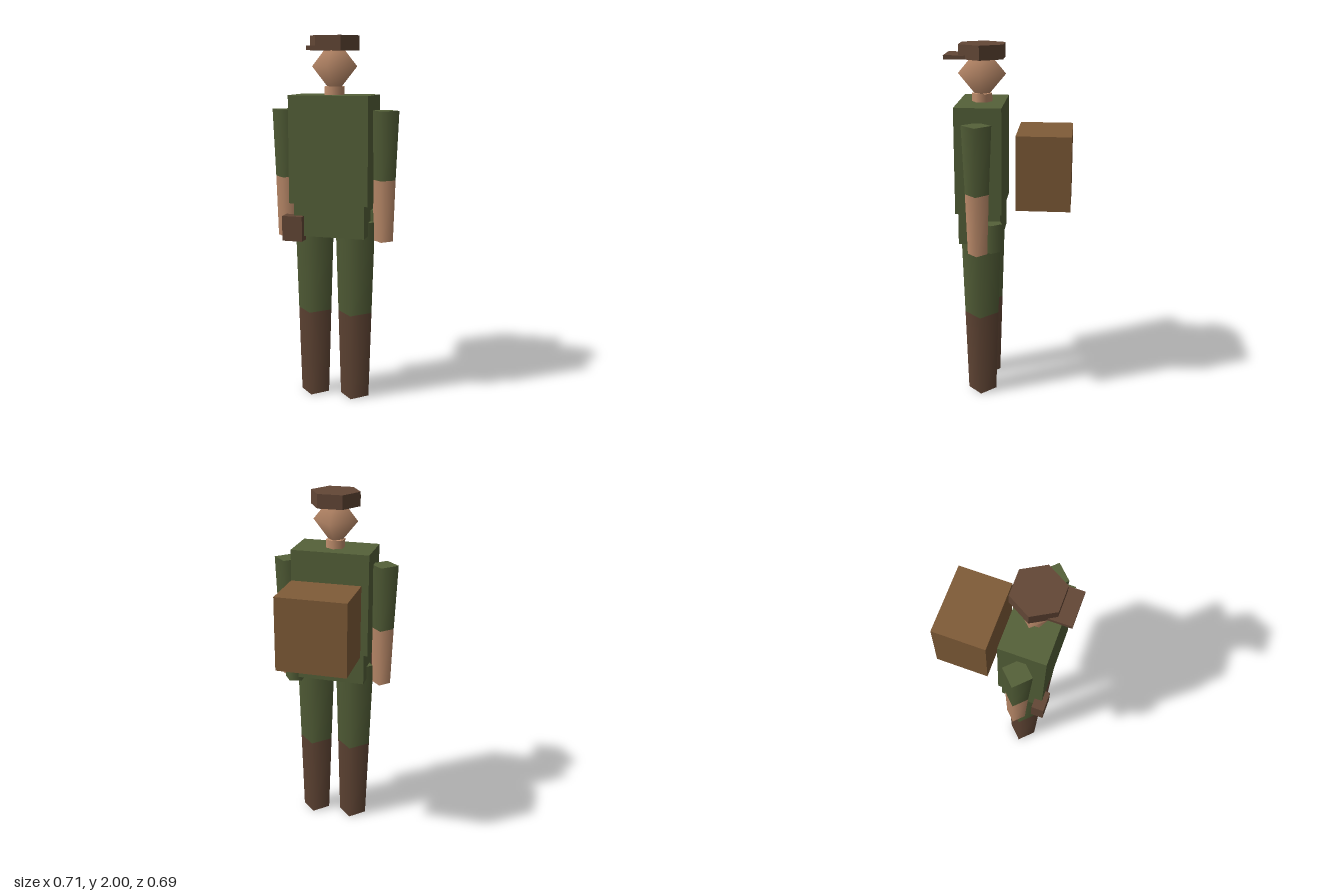
import * as THREE from 'three';

const flatColour = (name, color) => {
  const m = new THREE.MeshStandardMaterial({ color });
  m.name = name;
  return m;
};

export function createModel() {
  const model = new THREE.Group();
  model.name = 'figure';
  const green = flatColour('uniform green', 0x556139);
  const brown = flatColour('leather brown', 0x634736);
  const skin = flatColour('skin', 0xc4916f);
  const tan = flatColour('pack tan', 0x805c38);
  const Z = 0.15; // depth of the body axis

  const add = (name, geometry, material, x, y, z) => {
    const mesh = new THREE.Mesh(geometry, material);
    mesh.name = name;
    mesh.position.set(x, y, z);
    model.add(mesh);
    return mesh;
  };
  // box given by its limits on each axis
  const box = (name, material, [x0, x1], [y0, y1], [z0, z1]) =>
    add(name, new THREE.BoxGeometry(x1 - x0, y1 - y0, z1 - z0), material,
      (x0 + x1) / 2, (y0 + y1) / 2, (z0 + z1) / 2);
  // upright tapered prism between two heights
  const prism = (name, material, sides, rTop, rBottom, y0, y1, x, z = Z, start = 0) =>
    add(name, new THREE.CylinderGeometry(rTop, rBottom, y1 - y0, sides, 1, false, start),
      material, x, (y0 + y1) / 2, z);

  // body
  box('torso', green, [-0.22, 0.22], [1.11, 1.69], [0.024, 0.277]);
  box('hips', green, [-0.197, 0.197], [0.93, 1.11], [0.036, 0.264]);

  // limbs, diamond in section
  for (const [side, s] of [['left', 1], ['right', -1]]) {
    prism(side + 'Sleeve', green, 4, 0.08, 0.064, 1.24, 1.61, s * 0.277);
    prism(side + 'Forearm', skin, 4, 0.064, 0.053, 0.905, 1.24, s * 0.277);
    prism(side + 'Trouser', green, 4, 0.112, 0.096, 0.49, 1.005, s * 0.117);
    prism(side + 'Boot', brown, 4, 0.096, 0.081, 0, 0.49, s * 0.117);
  }

  // neck and head
  prism('neck', skin, 6, 0.055, 0.055, 1.67, 1.735, 0);
  const head = add('head', new THREE.SphereGeometry(1, 4, 2), skin, 0, 1.84, Z);
  head.scale.set(0.126, 0.156, 0.131);

  // cap
  const crown = new THREE.CylinderGeometry(0.138, 0.138, 0.077, 6, 1, false, Math.PI / 2).toNonIndexed();
  crown.computeVertexNormals();
  add('capCrown', crown, brown, 0, 1.9615, 0.148);
  box('capBrim', brown, [-0.093, 0.093], [1.923, 1.945], [0.2, 0.345]);

  // carried gear
  box('backpack', tan, [-0.196, 0.196], [1.13, 1.54], [-0.345, -0.048]);
  box('beltPouch', brown, [-0.253, -0.14], [0.905, 1.042], [0.23, 0.3]);
  prism('canteen', green, 5, 0.06, 0.06, 0.908, 1.066, 0.22, 0.077, Math.PI / 2);

  return model;
}
